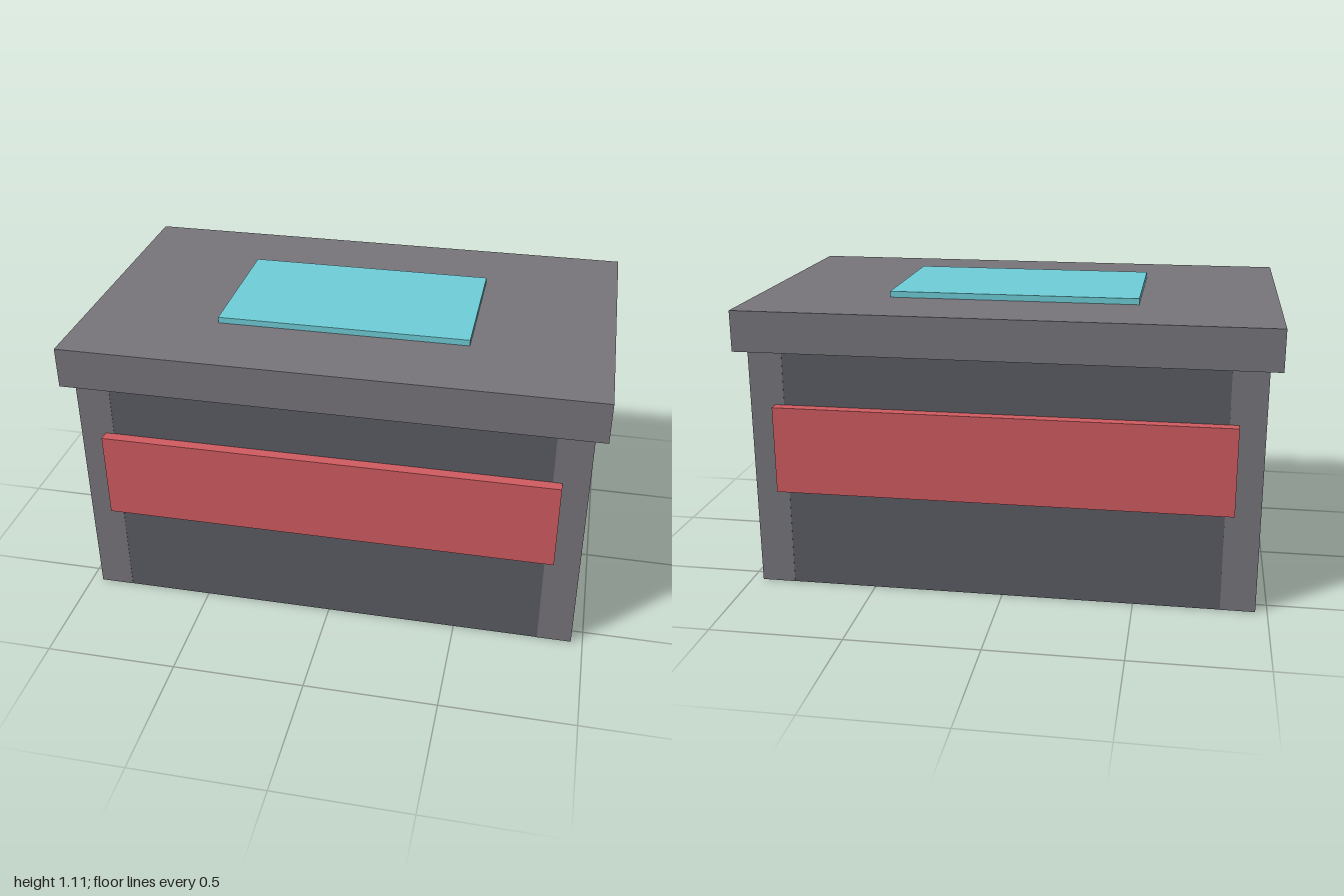
import * as THREE from 'three';

export function createModel() {
  const model = new THREE.Group();
  const paint = (color) => new THREE.MeshStandardMaterial({ color });
  const dark = paint(0x5c5c65);
  const grey = paint(0x78767c);
  const red = paint(0xd25c62);
  const cyan = paint(0x70d0da);

  // Box given by its width, depth and vertical extent
  function box(name, material, width, depth, bottom, top, x = 0, z = 0) {
    const mesh = new THREE.Mesh(new THREE.BoxGeometry(width, top - bottom, depth), material);
    mesh.name = name;
    mesh.position.set(x, (bottom + top) / 2, z);
    model.add(mesh);
  }

  // Crate body and overhanging lid
  box('body', dark, 1.91, 1.126, 0, 0.935);
  box('lid', grey, 2, 1.21, 0.935, 1.09);

  // Thin plate on the lid
  box('lidPlate', cyan, 0.956, 0.56, 1.09, 1.113);

  // Raised panels on the front and back
  for (const [name, side] of [['frontPanel', 1], ['backPanel', -1]]) {
    box(name, red, 1.72, 0.042, 0.39, 0.725, 0, side * 0.584);
  }

  // Corner posts, a hair proud of the body so the faces do not overlap
  const post = 0.13;
  for (const sx of [-1, 1]) {
    for (const sz of [-1, 1]) {
      const name = (sz > 0 ? 'front' : 'back') + (sx > 0 ? 'Left' : 'Right') + 'Post';
      box(name, grey, post, post, 0, 0.935, sx * (0.956 - post / 2), sz * (0.564 - post / 2));
    }
  }
  return model;
}
